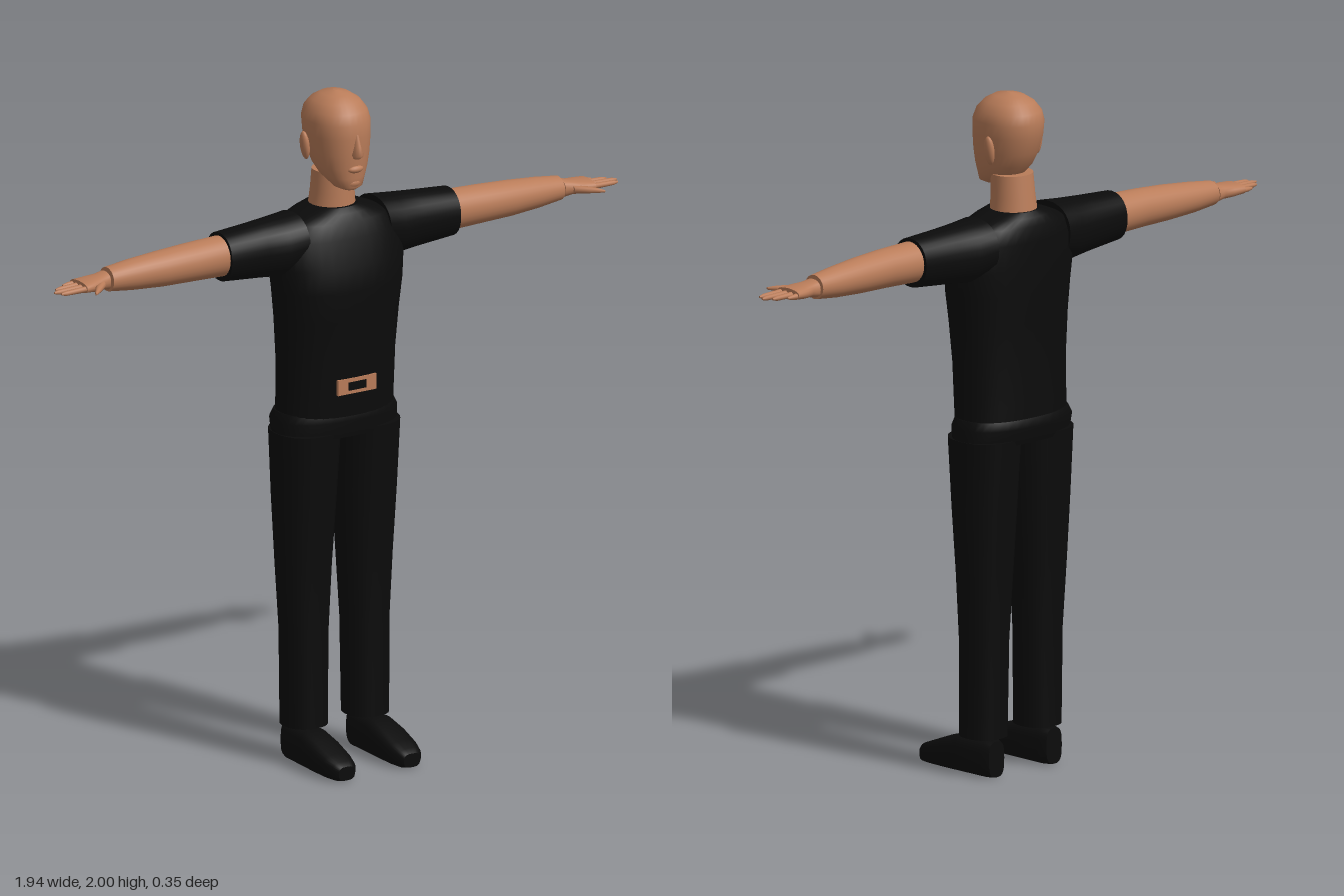
import * as THREE from 'three';

const skin = new THREE.MeshStandardMaterial({ color: 0xb97c59 });
skin.name = 'skin';
const black = new THREE.MeshStandardMaterial({ color: 0x0b0b0b });
black.name = 'black cloth';

// Loft of rounded cross-sections. Each section is [t, aMin, aMax, bMin, bMax], t ascending.
// axis y: a = x, b = z;  axis x: a = z, b = y;  axis z: a = y, b = x.
function loft(axis, sections, roundness = 1, n = 28) {
  const pos = [], idx = [];
  const put = (t, a, b) => {
    pos.push(...(axis === 'y' ? [a, t, b] : axis === 'x' ? [t, b, a] : [b, a, t]));
    return pos.length / 3 - 1;
  };
  const power = (v) => Math.sign(v) * Math.pow(Math.abs(v), roundness);
  const ring = ([t, a0, a1, b0, b1]) => {
    const ids = [];
    for (let i = 0; i < n; i++) {
      const th = (i / n) * Math.PI * 2;
      ids.push(put(t, (a0 + a1) / 2 + (a1 - a0) / 2 * power(Math.cos(th)),
        (b0 + b1) / 2 + (b1 - b0) / 2 * power(Math.sin(th))));
    }
    return ids;
  };
  const rings = sections.map(ring);
  for (let k = 0; k + 1 < rings.length; k++) {
    for (let i = 0; i < n; i++) {
      const j = (i + 1) % n, lo = rings[k], hi = rings[k + 1];
      idx.push(lo[i], hi[i], lo[j], lo[j], hi[i], hi[j]);
    }
  }
  // separate cap rings keep the end edges sharp
  for (const [s, top] of [[sections[0], false], [sections.at(-1), true]]) {
    const ids = ring(s), c = put(s[0], (s[1] + s[2]) / 2, (s[3] + s[4]) / 2);
    for (let i = 0; i < n; i++) {
      const j = (i + 1) % n;
      idx.push(c, top ? ids[j] : ids[i], top ? ids[i] : ids[j]);
    }
  }
  const g = new THREE.BufferGeometry();
  g.setAttribute('position', new THREE.Float32BufferAttribute(pos, 3));
  g.setIndex(idx);
  g.computeVertexNormals();
  return g;
}

// Mirror across x = 0, with the faces turned back outwards
function mirrored(geometry) {
  const g = geometry.clone();
  const p = g.attributes.position, nrm = g.attributes.normal, ix = g.index;
  for (let i = 0; i < p.count; i++) {
    p.setX(i, -p.getX(i));
    nrm.setX(i, -nrm.getX(i));
  }
  for (let i = 0; i < ix.count; i += 3) {
    const b = ix.getX(i + 1);
    ix.setX(i + 1, ix.getX(i + 2));
    ix.setX(i + 2, b);
  }
  return g;
}

export function createModel() {
  const model = new THREE.Group();
  model.name = 'man';
  const add = (name, geometry, material) => {
    const m = new THREE.Mesh(geometry, material);
    m.name = name;
    model.add(m);
    return m;
  };
  const addPair = (name, geometry, material) => {
    add('left' + name, geometry, material);
    add('right' + name, mirrored(geometry), material);
  };

  // Head and neck
  add('head', loft('y', [
    [1.722, -0.02, 0.02, 0.0, 0.045],
    [1.732, -0.042, 0.042, -0.02, 0.056],
    [1.76, -0.06, 0.06, -0.085, 0.06],
    [1.79, -0.074, 0.074, -0.112, 0.062],
    [1.83, -0.083, 0.083, -0.135, 0.066],
    [1.88, -0.089, 0.089, -0.151, 0.068],
    [1.92, -0.091, 0.091, -0.155, 0.066],
    [1.95, -0.084, 0.084, -0.147, 0.053],
    [1.975, -0.066, 0.066, -0.125, 0.03],
    [1.992, -0.04, 0.04, -0.095, 0.0],
    [2.0, -0.006, 0.006, -0.056, -0.04],
  ], 0.92, 32), skin);
  add('neck', loft('y', [
    [1.64, -0.07, 0.07, -0.137, 0.004],
    [1.7, -0.064, 0.064, -0.128, 0.002],
    [1.765, -0.063, 0.063, -0.118, 0.0],
  ]), skin);

  // Face relief
  add('nose', loft('y', [
    [1.822, -0.013, 0.013, 0.04, 0.076],
    [1.834, -0.017, 0.017, 0.04, 0.09],
    [1.86, -0.011, 0.011, 0.04, 0.08],
    [1.893, -0.008, 0.008, 0.04, 0.068],
  ], 1, 12), skin);
  const mouth = new THREE.SphereGeometry(1, 16, 10);
  mouth.scale(0.026, 0.012, 0.014).translate(0, 1.788, 0.056);
  add('lips', mouth, skin);
  const chin = new THREE.SphereGeometry(1, 16, 10);
  chin.scale(0.028, 0.018, 0.02).translate(0, 1.745, 0.04);
  add('chin', chin, skin);
  const ear = new THREE.SphereGeometry(1, 16, 12);
  ear.scale(0.012, 0.043, 0.018).rotateZ(-0.12).translate(0.094, 1.845, -0.064);
  addPair('Ear', ear, skin);

  // Shirt
  add('shirt', loft('y', [
    [1.02, -0.185, 0.185, -0.162, 0.052],
    [1.1, -0.184, 0.184, -0.162, 0.06],
    [1.22, -0.186, 0.186, -0.16, 0.066],
    [1.34, -0.194, 0.194, -0.163, 0.077],
    [1.43, -0.203, 0.203, -0.168, 0.087],
    [1.5, -0.212, 0.212, -0.168, 0.078],
    [1.58, -0.205, 0.205, -0.168, 0.058],
    [1.625, -0.168, 0.168, -0.163, 0.042],
    [1.647, -0.115, 0.115, -0.152, 0.028],
    [1.662, -0.07, 0.07, -0.138, 0.012],
  ], 0.85, 36), black);
  addPair('Sleeve', loft('x', [
    [0.14, -0.155, 0.035, 1.49, 1.655],
    [0.2, -0.147, 0.026, 1.475, 1.65],
    [0.27, -0.134, 0.017, 1.482, 1.645],
    [0.395, -0.122, 0.012, 1.493, 1.637],
  ], 0.92), black);

  // Belt buckle
  const plate = new THREE.BoxGeometry(0.132, 0.046, 0.009);
  add('buckle', plate.translate(0, 1.142, 0.062), skin);
  const inset = new THREE.BoxGeometry(0.06, 0.024, 0.004);
  add('buckleInset', inset.translate(0, 1.142, 0.067), black);

  // Trousers and shoes
  add('trouserWaist', loft('y', [
    [0.985, -0.199, 0.199, -0.158, 0.05],
    [1.035, -0.2, 0.2, -0.174, 0.058],
    [1.06, -0.187, 0.187, -0.166, 0.052],
  ], 0.85, 36), black);
  addPair('TrouserLeg', loft('y', [
    [0.115, 0.04, 0.172, -0.12, 0.016],
    [0.4, 0.036, 0.174, -0.124, 0.016],
    [0.6, 0.025, 0.185, -0.135, 0.023],
    [0.8, 0.013, 0.195, -0.146, 0.037],
    [1.0, 0.004, 0.201, -0.158, 0.052],
  ], 0.88), black);
  addPair('Shoe', loft('z', [
    [-0.115, 0.002, 0.108, 0.083, 0.143],
    [-0.09, 0, 0.112, 0.07, 0.154],
    [0.01, 0, 0.112, 0.063, 0.163],
    [0.07, 0, 0.094, 0.061, 0.166],
    [0.13, 0, 0.07, 0.064, 0.163],
    [0.165, 0, 0.056, 0.073, 0.153],
    [0.18, 0.003, 0.044, 0.085, 0.14],
  ], 0.65), black);

  // Bare arms and hands
  addPair('Arm', loft('x', [
    [0.38, -0.113, 0.004, 1.507, 1.628],
    [0.5, -0.11, 0.002, 1.511, 1.624],
    [0.6, -0.108, -0.003, 1.513, 1.618],
    [0.7, -0.105, -0.014, 1.519, 1.609],
    [0.779, -0.099, -0.024, 1.528, 1.599],
  ]), skin);
  addPair('Hand', loft('x', [
    [0.785, -0.095, -0.03, 1.535, 1.589],
    [0.81, -0.093, -0.027, 1.54, 1.584],
    [0.84, -0.1, -0.016, 1.541, 1.581],
    [0.878, -0.104, -0.012, 1.545, 1.577],
  ], 0.85, 20), skin);
  // finger: z position and tip x
  [[-0.092, 0.912], [-0.07, 0.95], [-0.047, 0.97], [-0.025, 0.96]].forEach(([z, tip], i) => {
    addPair('Finger' + (i + 1), loft('x', [
      [0.865, z - 0.009, z + 0.009, 1.551, 1.569],
      [tip - 0.015, z - 0.007, z + 0.007, 1.552, 1.566],
      [tip, z - 0.003, z + 0.003, 1.556, 1.562],
    ], 1, 10), skin);
  });
  addPair('Thumb', loft('x', [
    [0.81, -0.05, -0.02, 1.548, 1.572],
    [0.845, -0.022, 0.01, 1.55, 1.57],
    [0.865, 0.006, 0.026, 1.553, 1.567],
    [0.878, 0.026, 0.034, 1.556, 1.563],
  ], 1, 10), skin);

  return model;
}
